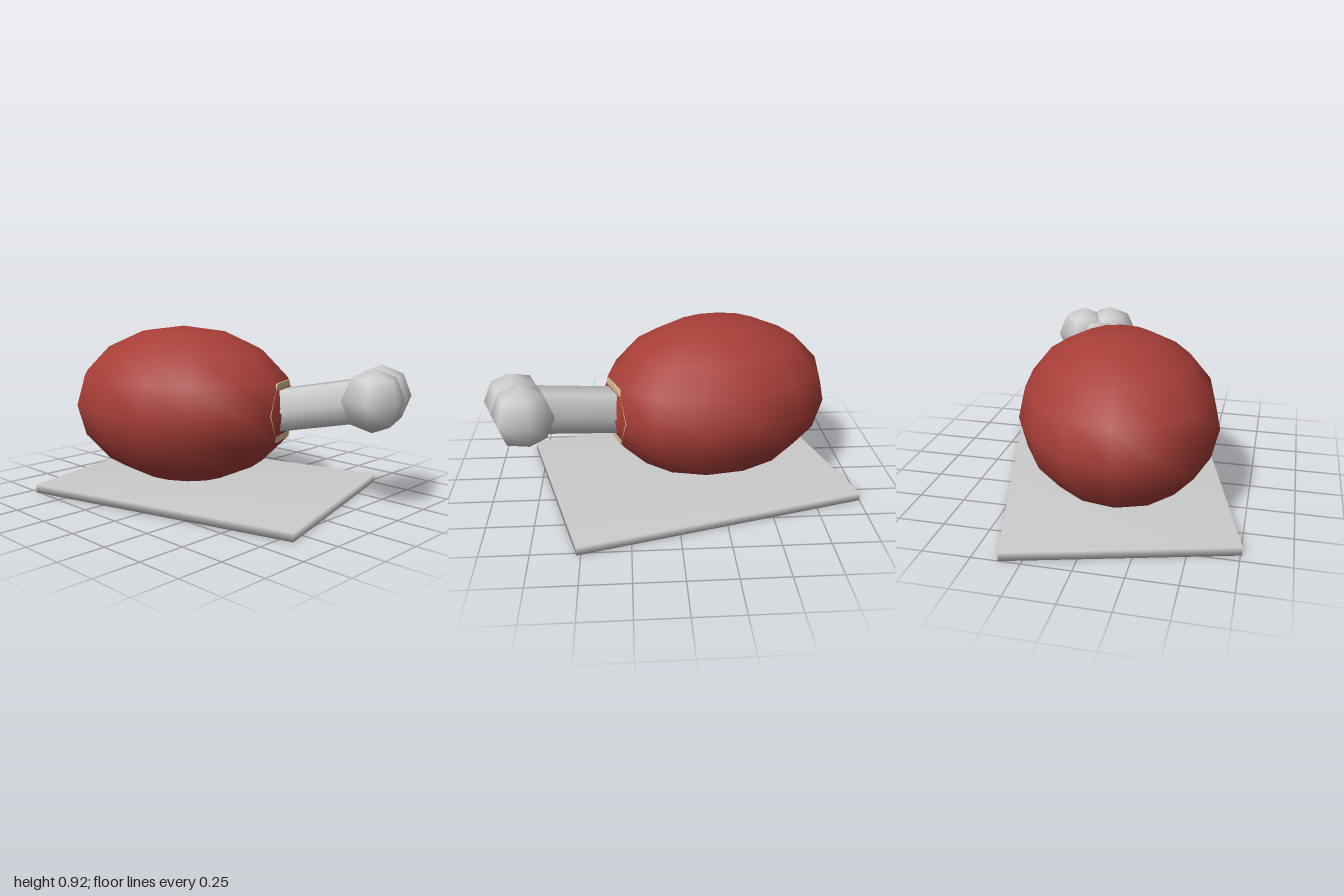
import * as THREE from 'three';
import { mergeVertices } from 'three/addons/utils/BufferGeometryUtils.js';

const grey = new THREE.MeshStandardMaterial({ color: 0xcccccc });
const red = new THREE.MeshStandardMaterial({ color: 0xa83e38 });
const tan = new THREE.MeshStandardMaterial({ color: 0xdcc49a });

function addPart(parent, name, geometry, material, x = 0, y = 0, z = 0) {
  const mesh = new THREE.Mesh(geometry, material);
  mesh.name = name;
  mesh.position.set(x, y, z);
  parent.add(mesh);
  return mesh;
}

// Share corners so that shading runs softly over the edges
function softened(geometry) {
  geometry.deleteAttribute('normal');
  geometry.deleteAttribute('uv');
  const merged = mergeVertices(geometry);
  merged.computeVertexNormals();
  return merged;
}

// Cylinder along +x with flat sides at the top and bottom
function hexRod(radius, length) {
  return new THREE.CylinderGeometry(radius, radius, length, 6).rotateZ(-Math.PI / 2);
}

export function createModel() {
  const model = new THREE.Group();
  model.name = 'meatOnBoard';
  const deg = Math.PI / 180;

  // Flat serving board
  const board = addPart(model, 'board', softened(new THREE.BoxGeometry(1.575, 0.045, 1.16)), grey, -0.09, 0.0225, -0.005);
  board.rotation.y = 15 * deg;

  // Meat and bone lie along the local x axis
  const joint = new THREE.Group();
  joint.name = 'meatJoint';
  joint.position.set(-0.235, 0.482, 0.053);
  joint.rotation.y = 20 * deg;
  model.add(joint);

  // Low-poly ellipsoid, turned half a segment so that a facet faces the bone
  const meat = new THREE.SphereGeometry(1, 14, 8, Math.PI / 14).scale(0.65, 0.44, 0.525);
  addPart(joint, 'meat', meat, red);

  // Cut end that just breaks through the meat around the bone
  addPart(joint, 'cutEnd', hexRod(0.183, 0.1), tan, 0.548, 0, 0);

  // Bone shaft, rising slightly outward
  const start = new THREE.Vector2(0.5, -0.01);
  const end = new THREE.Vector2(1.1, 0.104);
  const shaft = addPart(joint, 'boneShaft', hexRod(0.126, start.distanceTo(end)), grey,
    (start.x + end.x) / 2, (start.y + end.y) / 2, 0);
  shaft.rotation.z = Math.atan2(end.y - start.y, end.x - start.x);

  // Pair of knobs at the bone's end
  for (const side of [-1, 1]) {
    const knob = new THREE.SphereGeometry(0.165, 6, 4, Math.PI / 6);
    addPart(joint, side > 0 ? 'frontKnob' : 'backKnob', knob, grey, 1.105, 0.105, side * 0.083);
  }

  return model;
}
